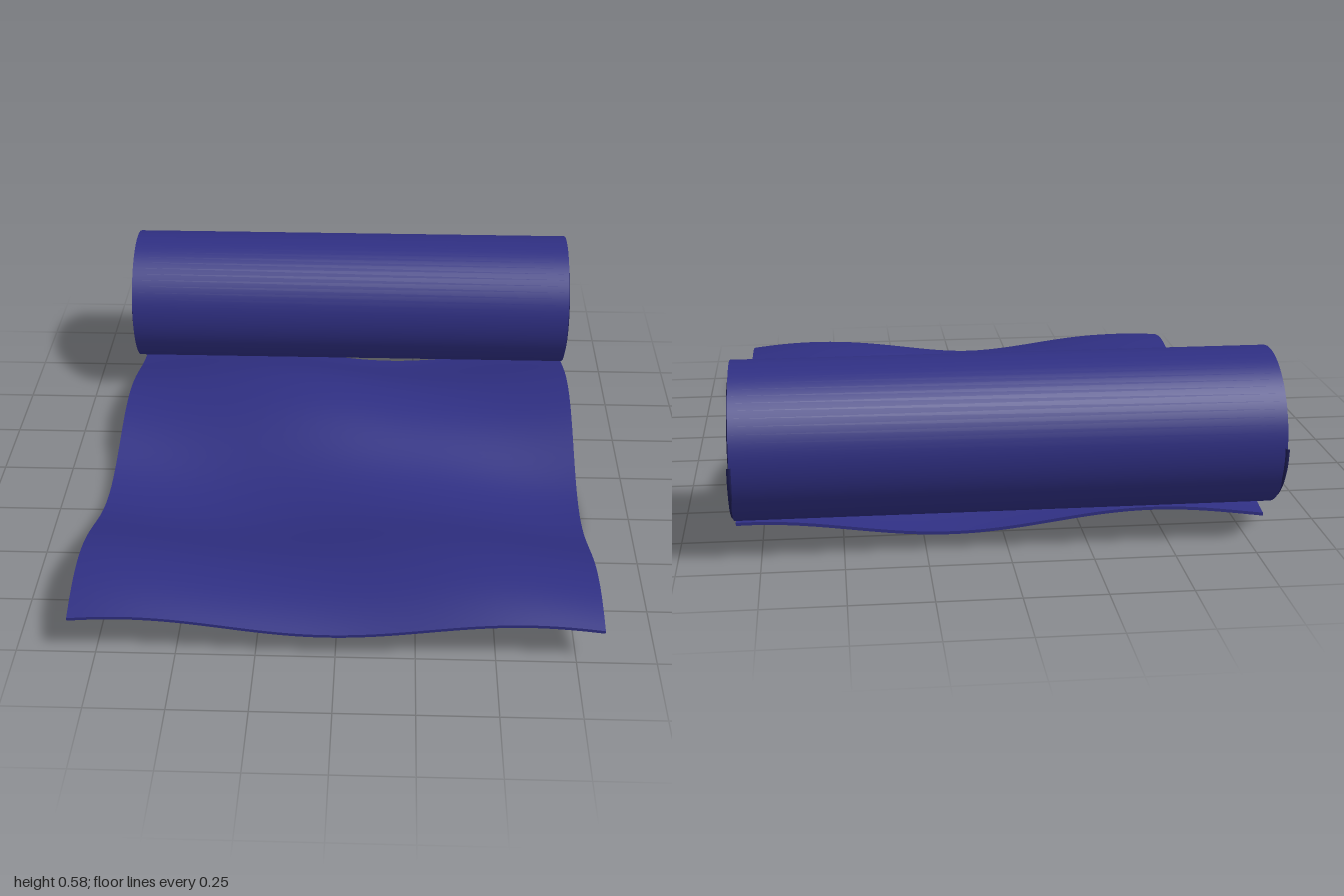
import * as THREE from 'three';

export function createModel() {
  const model = new THREE.Group();
  const fabric = new THREE.MeshStandardMaterial({ color: 0x2f2f82 });
  fabric.name = 'navy mat';
  const seam = new THREE.MeshStandardMaterial({ color: 0x1e1e55 });
  seam.name = 'dark spiral';

  const add = (name, geometry, material) => {
    const mesh = new THREE.Mesh(geometry, material);
    mesh.name = name;
    model.add(mesh);
    return mesh;
  };

  // Unrolled sheet: a thin slab with a long wave and a small diagonal ripple
  const width = 1.66;
  const sheet = new THREE.BoxGeometry(width, 0.01, 1.78, 64, 1, 80);
  sheet.translate(0, 0, 0.11);
  const p = sheet.attributes.position;
  for (let i = 0; i < p.count; i++) {
    const x = p.getX(i), z = p.getZ(i);
    const wave = 0.06 * Math.cos(5.71 * (z - 0.78));
    const ripple = 0.028 * Math.cos(5 * x - 3 * z);
    p.setY(i, p.getY(i) + 0.096 + wave + ripple);
  }
  sheet.computeVertexNormals();
  add('sheet', sheet, fabric);

  // Rolled-up part
  const rollY = 0.335, rollZ = -0.75;
  const cylinder = new THREE.CylinderGeometry(0.245, 0.245, width, 64);
  cylinder.rotateZ(Math.PI / 2);
  add('roll', cylinder, fabric).position.set(0, rollY, rollZ);

  // Raised spirals on both ends of the roll
  const turns = 3, points = [];
  for (let i = 0; i <= turns * 24; i++) {
    const t = i / (turns * 24);
    const r = 0.03 + 0.215 * t, a = t * turns * Math.PI * 2;
    points.push(new THREE.Vector3(0, r * Math.sin(a), -r * Math.cos(a)));
  }
  const spiral = new THREE.TubeGeometry(new THREE.CatmullRomCurve3(points), 240, 0.007, 8);
  for (const [name, side] of [['leftSpiral', 1], ['rightSpiral', -1]]) {
    add(name, spiral, seam).position.set(side * width / 2, rollY, rollZ);
  }
  return model;
}
